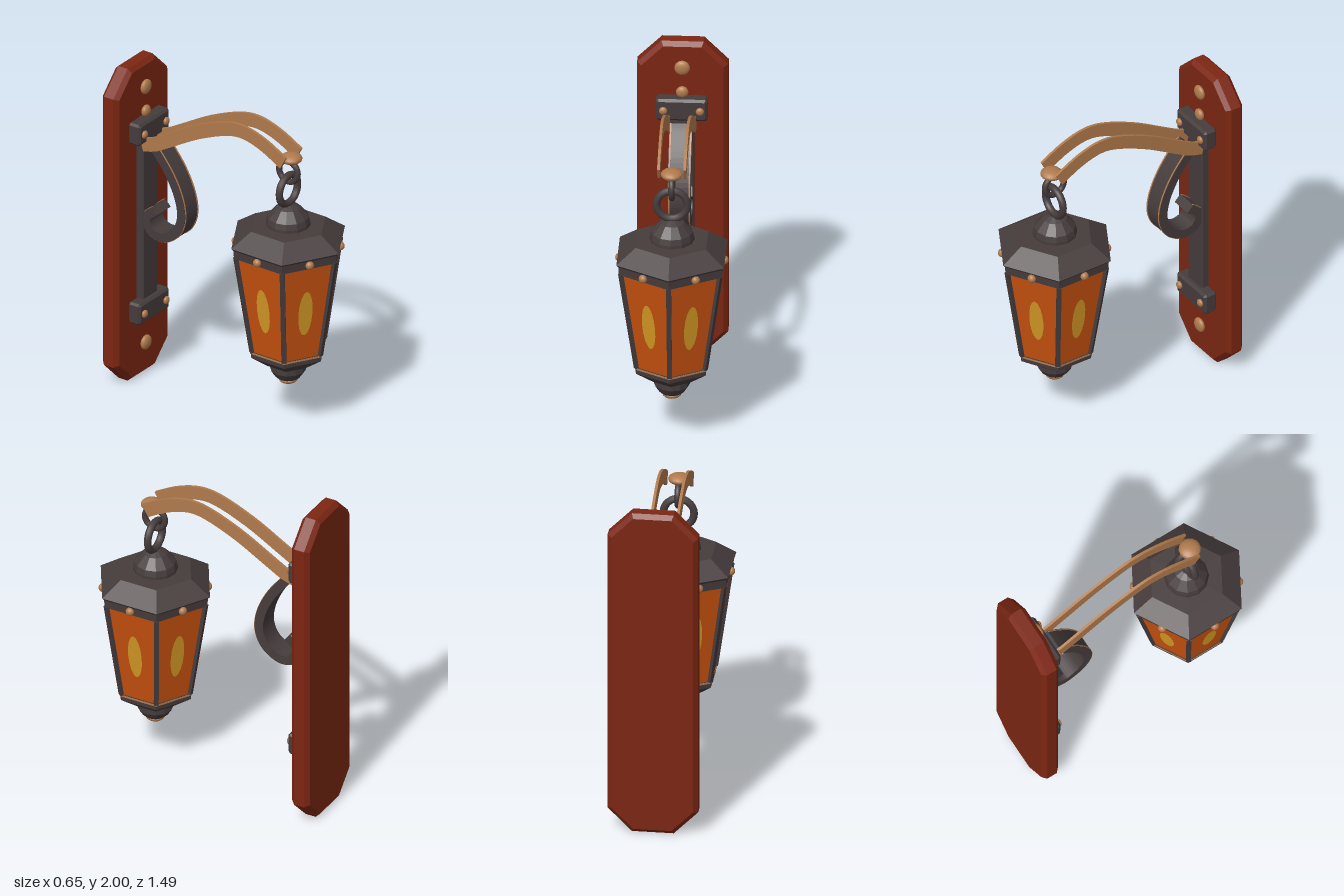
import * as THREE from 'three';

const material = (name, color) => Object.assign(new THREE.MeshStandardMaterial({ color }), { name });

// Faceted normals without touching the material
function faceted(geo) {
  const g = geo.index ? geo.toNonIndexed() : geo;
  g.computeVertexNormals();
  return g;
}

// Bevelled slab with cut corners, back face at z = 0
function slab(w, h, d, cut, bevel) {
  const x = w / 2 - bevel, y = h / 2 - bevel;
  const corners = [[x - cut, -y], [x, -y + cut], [x, y - cut], [x - cut, y],
    [-x + cut, y], [-x, y - cut], [-x, -y + cut], [-x + cut, -y]];
  const shape = new THREE.Shape(corners.map(p => new THREE.Vector2(...p)));
  const geo = new THREE.ExtrudeGeometry(shape, {
    depth: d - 2 * bevel, bevelEnabled: true, bevelSize: bevel, bevelThickness: bevel, bevelSegments: 1,
  });
  return geo.translate(0, 0, bevel);
}

// Flat band following a curve of [z, y] points, centred on x = 0.
// inner and outer are the offsets of its two edges from the curve.
function ribbon(points, inner, outer, width, steps) {
  const curve = new THREE.SplineCurve(points.map(p => new THREE.Vector2(...p)));
  const a = [], b = [];
  for (let i = 0; i <= steps; i++) {
    const p = curve.getPoint(i / steps), t = curve.getTangent(i / steps);
    a.push(new THREE.Vector2(p.x - t.y * inner, p.y + t.x * inner));
    b.unshift(new THREE.Vector2(p.x - t.y * outer, p.y + t.x * outer));
  }
  const geo = new THREE.ExtrudeGeometry(new THREE.Shape([...a, ...b]), { depth: width, bevelEnabled: false });
  return geo.translate(0, 0, -width / 2).rotateY(-Math.PI / 2);
}

const lathe = (profile, sides) =>
  faceted(new THREE.LatheGeometry(profile.map(p => new THREE.Vector2(...p)), sides));

export function createModel() {
  const wood = material('red wood', 0x7c2612);
  const iron = material('dark iron', 0x463c3c);
  const brass = material('brass', 0xb07a4c);
  const glass = material('amber glass', 0xc85210);
  const glow = material('yellow glow', 0xd69a26);

  const model = new THREE.Group();
  model.name = 'wallLantern';
  const add = (parent, name, geo, mat, x = 0, y = 0, z = 0) => {
    const mesh = new THREE.Mesh(geo, mat);
    mesh.name = name;
    mesh.position.set(x, y, z);
    parent.add(mesh);
    return mesh;
  };
  const ball = new THREE.SphereGeometry(1, 16, 10);
  const stud = (parent, name, r, depth, x, y, z) =>
    add(parent, name, ball, brass, x, y, z).scale.set(r, r, depth);

  // Wall board with round studs
  add(model, 'wallBoard', slab(0.52, 2, 0.115, 0.125, 0.025), wood, 0, 1, -0.745);
  for (const y of [0.21, 1.85]) stud(model, 'boardStud', 0.045, 0.022, 0, y, -0.612);
  stud(model, 'bracketStud', 0.036, 0.022, 0, 1.695, -0.612);

  // Iron strip and its two clamps
  add(model, 'backStrip', slab(0.14, 1.3, 0.055, 0.004, 0.008), iron, 0, 1.02, -0.635);
  for (const y of [0.455, 1.605]) {
    add(model, 'clamp', slab(0.295, 0.135, 0.085, 0.004, 0.014), iron, 0, y, -0.635);
    for (const x of [-0.105, 0.105]) stud(model, 'clampBolt', 0.024, 0.016, x, y, -0.545);
  }

  // Pair of curved brass arms
  const armPath = [[-0.585, 1.52], [-0.5, 1.545], [-0.4, 1.6], [-0.2, 1.714], [0, 1.797],
    [0.13, 1.814], [0.27, 1.775], [0.41, 1.7]];
  const arm = ribbon(armPath, -0.042, 0.042, 0.016, 32);
  for (const x of [-0.075, 0.075]) add(model, 'arm', arm, brass, x);
  add(model, 'armCap', ball, brass, 0, 1.7, 0.41).scale.set(0.064, 0.031, 0.064);

  // Scroll below the arms, with thin brass edging on its outer face
  const scrollPath = [[-0.53, 1.525], [-0.48, 1.475], [-0.395, 1.36], [-0.335, 1.23], [-0.32, 1.11],
    [-0.362, 1.01], [-0.455, 0.953], [-0.54, 0.975], [-0.566, 1.05], [-0.505, 1.11]];
  add(model, 'scroll', ribbon(scrollPath, -0.028, 0.028, 0.13, 48), iron);
  const edging = ribbon(scrollPath, 0.026, 0.031, 0.008, 48);
  for (const x of [-0.058, 0.058]) add(model, 'scrollEdging', edging, brass, x);

  // Chain rings
  add(model, 'upperRing', new THREE.TorusGeometry(0.065, 0.018, 10, 28), iron, 0, 1.61, 0.39)
    .rotation.y = Math.PI / 2;
  add(model, 'lowerRing', new THREE.TorusGeometry(0.088, 0.022, 10, 28), iron, 0, 1.495, 0.39);

  // Six-sided lantern, one corner facing forward
  const lantern = new THREE.Group();
  lantern.name = 'lantern';
  lantern.position.z = 0.388;
  model.add(lantern);
  add(lantern, 'roof', lathe([[0, 1.12], [0.338, 1.12], [0.342, 1.17], [0.355, 1.185],
    [0.232, 1.27], [0, 1.275]], 6), iron);
  add(lantern, 'roofCap', lathe([[0.128, 1.265], [0.128, 1.29], [0.12, 1.325], [0.07, 1.382],
    [0.03, 1.4], [0, 1.4]], 12), iron);
  add(lantern, 'glassPanes', faceted(new THREE.CylinderGeometry(0.325, 0.225, 0.63, 6, 1, true)), glass, 0, 0.81);
  add(lantern, 'base', lathe([[0, 0.385], [0.125, 0.385], [0.23, 0.46], [0.234, 0.5], [0, 0.5]], 6), iron);
  add(lantern, 'baseBand', faceted(new THREE.CylinderGeometry(0.237, 0.237, 0.01, 6)), brass, 0, 0.493);
  add(lantern, 'foot', lathe([[0, 0.295], [0.065, 0.295], [0.08, 0.31], [0.103, 0.345],
    [0.103, 0.39], [0, 0.39]], 12), iron);
  add(lantern, 'bottomKnob', ball, brass, 0, 0.283).scale.set(0.055, 0.026, 0.055);

  // Corner bars, glow plates and roof studs repeated round the lantern
  const bar = new THREE.BoxGeometry(0.028, 0.635, 0.024);
  const flame = new THREE.CircleGeometry(1, 16).scale(0.044, 0.15, 1);
  for (let i = 0; i < 6; i++) {
    const corner = new THREE.Group();
    corner.name = 'corner';
    corner.rotation.y = i * Math.PI / 3;
    add(corner, 'cornerBar', bar, iron, 0, 0.81, 0.275).rotation.x = Math.atan(0.1 / 0.62);

    const side = new THREE.Group();
    side.name = 'side';
    side.rotation.y = (i + 0.5) * Math.PI / 3;
    add(side, 'glow', flame, glow, 0, 0.81, 0.242).rotation.x = Math.atan(0.0866 / 0.63);
    stud(side, 'roofStud', 0.025, 0.022, 0, 1.147, 0.302);
    lantern.add(corner, side);
  }
  return model;
}
